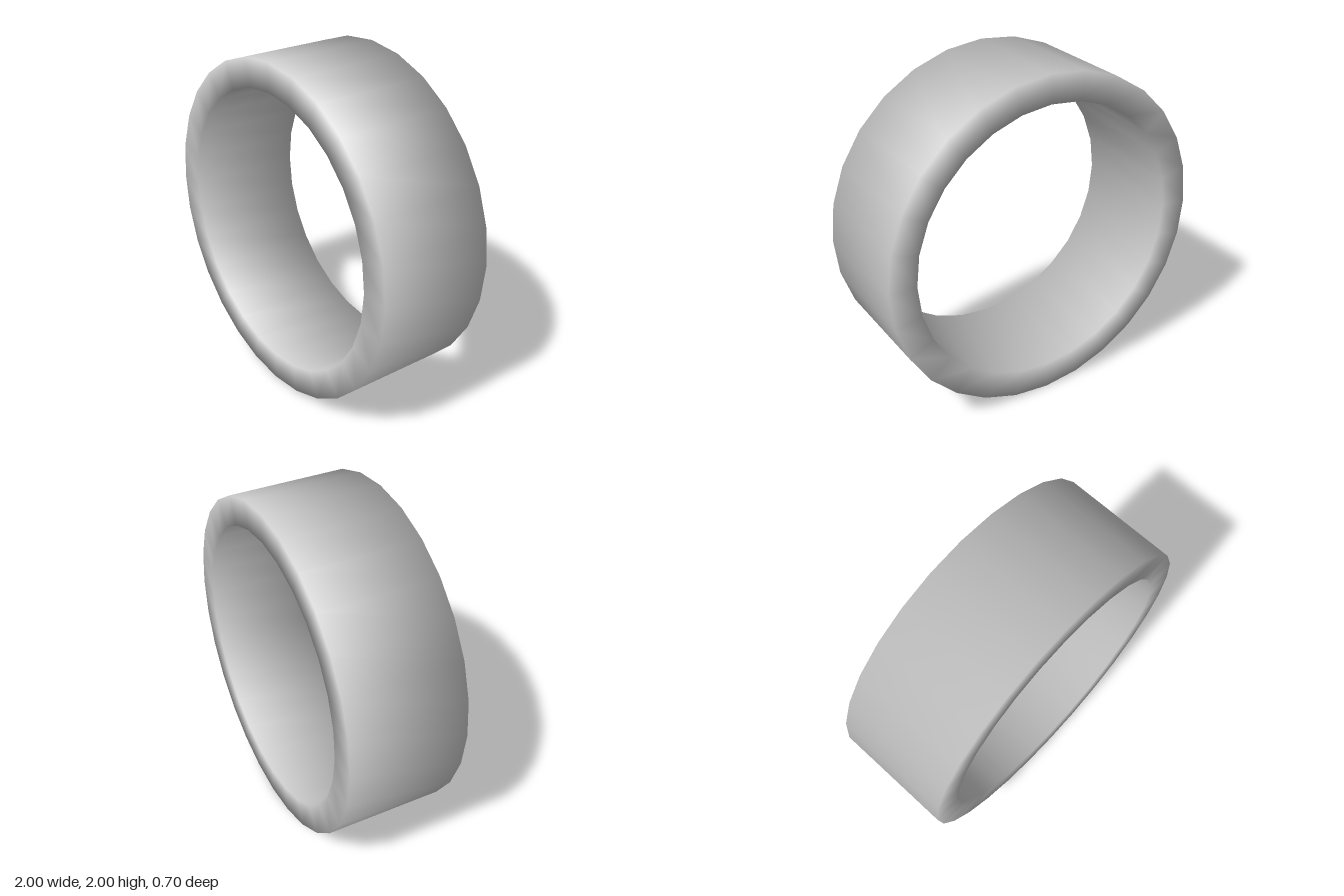
import * as THREE from 'three';

const SEGMENTS = 28, OUTER = 1, INNER = 0.833, HALF_WIDTH = 0.35;

// Torus with a four-cornered tube, reshaped to a wide flat band;
// normals point diagonally out of the corners so the shading stays soft.
function bandGeometry() {
  const geometry = new THREE.TorusGeometry(1, 0.1, 4, SEGMENTS);
  const { position, normal, uv } = geometry.attributes;
  for (let i = 0; i < position.count; i++) {
    const around = uv.getX(i) * Math.PI * 2;
    const corner = (uv.getY(i) + 0.125) * Math.PI * 2;
    const side = Math.sign(Math.cos(corner)); // outside or inside wall
    const end = Math.sign(Math.sin(corner)); // front or back rim
    const radius = side > 0 ? OUTER : INNER;
    const c = Math.cos(around), s = Math.sin(around);
    position.setXYZ(i, radius * c, radius * s, end * HALF_WIDTH);
    normal.setXYZ(i, side * c * Math.SQRT1_2, side * s * Math.SQRT1_2, end * Math.SQRT1_2);
  }
  return geometry;
}

export function createModel() {
  const group = new THREE.Group();
  group.name = 'ring';
  const band = new THREE.Mesh(bandGeometry(), new THREE.MeshStandardMaterial({ color: 0xcccccc }));
  band.name = 'band';
  band.position.y = OUTER;
  group.add(band);
  return group;
}
